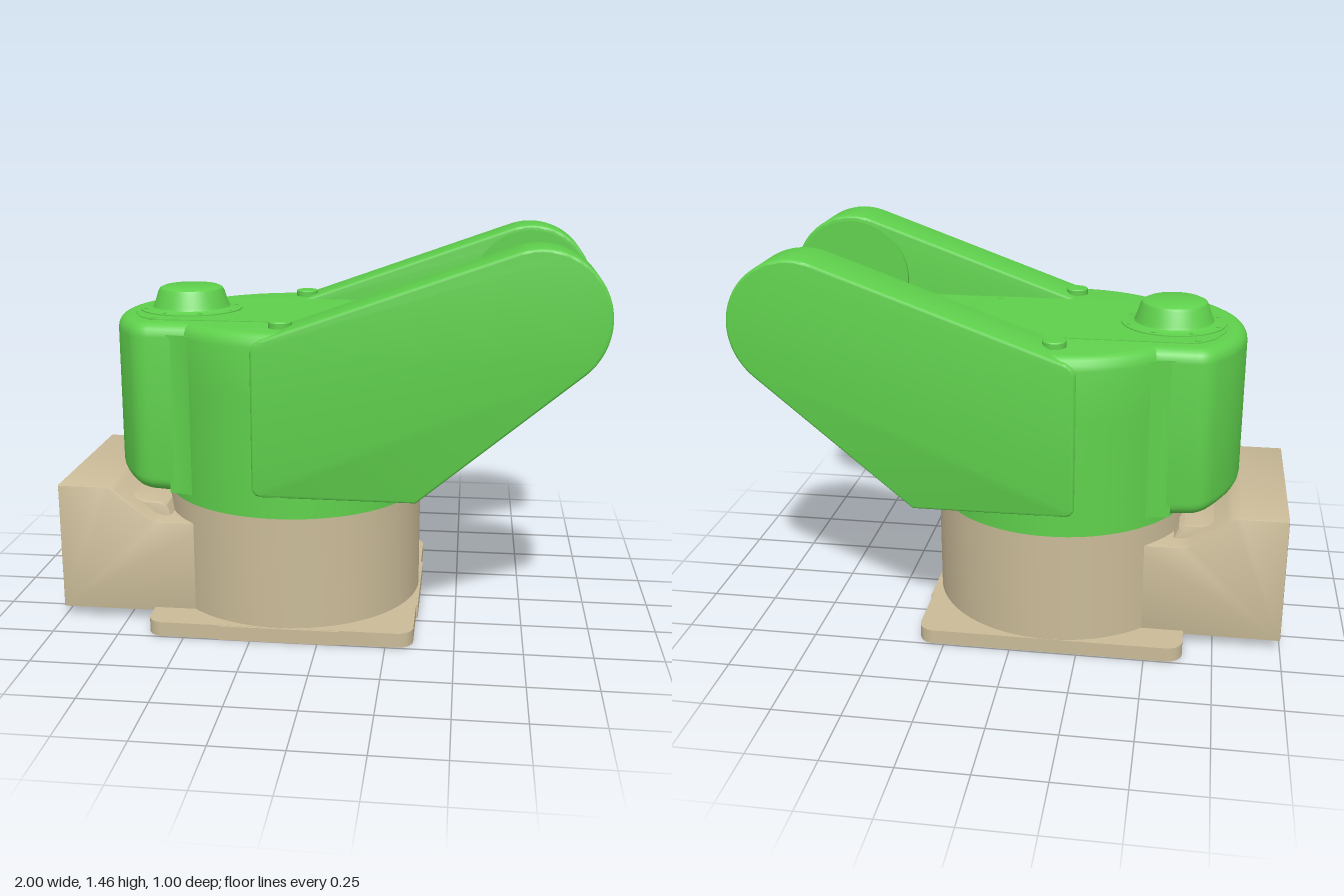
import * as THREE from 'three';
import { toCreasedNormals } from 'three/addons/utils/BufferGeometryUtils.js';

const CX = -0.145; // x of the turning axis
const AXIS_R = 0.494;

export function createModel() {
  const root = new THREE.Group();
  const green = new THREE.MeshStandardMaterial({ color: 0x5fd04c });
  const beige = new THREE.MeshStandardMaterial({ color: 0xcabb98 });

  const add = (name, geo, mat, x = 0, y = 0, z = 0, crease = 0.6) => {
    const mesh = new THREE.Mesh(toCreasedNormals(geo, crease), mat);
    mesh.name = name;
    mesh.position.set(x, y, z);
    root.add(mesh);
    return mesh;
  };
  const polygon = (pts) => new THREE.Shape(pts.map(([x, y]) => new THREE.Vector2(x, y)));
  const lathe = (pts, n = 72) => new THREE.LatheGeometry(pts.map(([r, y]) => new THREE.Vector2(r, y)), n);

  // Extrusion whose full size includes its rounded edges
  const extrude = (shape, depth, bevel = 0, segments = 2) => {
    const geo = new THREE.ExtrudeGeometry(shape, {
      depth: depth - 2 * bevel, bevelEnabled: bevel > 0, bevelSize: bevel, bevelThickness: bevel,
      bevelOffset: -bevel, bevelSegments: segments, curveSegments: 24,
    });
    return geo.translate(0, 0, bevel);
  };
  // Shape drawn in x/z, extruded downwards from the given top
  const extrudeDown = (shape, top, depth, bevel, segments) =>
    extrude(shape, depth, bevel, segments).rotateX(Math.PI / 2).translate(0, top, 0);
  const moveVertices = (geo, rule) => {
    const p = geo.attributes.position;
    const v = new THREE.Vector3();
    for (let i = 0; i < p.count; i++) {
      rule(v.fromBufferAttribute(p, i));
      p.setXYZ(i, v.x, v.y, v.z);
    }
    return geo;
  };

  // Base plate with rounded corners and a round opening
  const plate = new THREE.Shape();
  const h = 0.495, c = 0.06;
  plate.absarc(h - c, h - c, c, 0, Math.PI / 2);
  plate.absarc(c - h, h - c, c, Math.PI / 2, Math.PI);
  plate.absarc(c - h, c - h, c, Math.PI, Math.PI * 1.5);
  plate.absarc(h - c, c - h, c, Math.PI * 1.5, Math.PI * 2);
  plate.holes.push(new THREE.Path().absarc(0, 0, 0.36, 0, Math.PI * 2, true));
  add('basePlate', extrudeDown(plate, 0.055, 0.055), beige, CX);
  add('plateSidePad', new THREE.BoxGeometry(0.45, 0.054, 0.05), beige, CX, 0.027, 0.478);
  add('plateFrontPad', new THREE.BoxGeometry(0.05, 0.054, 0.45), beige, 0.332, 0.027, 0);

  // Base drum with a blind bore from below
  add('baseDrum', lathe([[0, 0.45], [0.205, 0.45], [0.205, 0.004], [0.36, 0.004], [0.36, 0.05],
    [AXIS_R, 0.05], [AXIS_R, 0.478], [0, 0.478]]), beige, CX);

  // Connector housing behind the drum
  add('connectorHousing', extrude(polygon([[-1, 0.04], [-0.42, 0.04], [-0.42, 0.4], [-0.62, 0.4], [-0.65, 0.41],
    [-0.78, 0.515], [-0.8, 0.526], [-0.83, 0.53], [-1, 0.53]]), 0.72, 0.006), beige, 0, 0, -0.36);
  add('connectorRaisedStep', extrude(polygon([[-0.85, 0.3], [-0.42, 0.3], [-0.42, 0.395], [-0.585, 0.395],
    [-0.605, 0.44], [-0.625, 0.452], [-0.69, 0.456], [-0.74, 0.48], [-0.8, 0.52], [-0.85, 0.52]]),
  0.56, 0.008), beige, 0, 0, -0.28);

  // Turret body, flattened at the front above the shoulder
  const body = lathe([[0, 0.478], [AXIS_R, 0.478], [AXIS_R, 0.62], [AXIS_R, 0.76], [AXIS_R, 0.8], [AXIS_R, 0.84],
    [AXIS_R, 0.88], [AXIS_R, 0.92], [AXIS_R, 1.1], [0.489, 1.12], [0.479, 1.137], [0.463, 1.147], [0.443, 1.15], [0, 1.15]], 96);
  moveVertices(body, (v) => {
    const s = THREE.MathUtils.smoothstep(v.y, 0.76, 0.92);
    v.x = Math.min(v.x, THREE.MathUtils.lerp(0.5, 0.445, s));
  });
  add('turretBody', body, green, CX);

  // Rounded rear head, its underside rising to the back
  const head = new THREE.Shape();
  head.moveTo(-0.3, -0.34);
  head.lineTo(-0.3, 0.34);
  head.lineTo(-0.64, 0.34);
  head.quadraticCurveTo(-0.69, 0.34, -0.72, 0.295);
  head.quadraticCurveTo(-0.82, 0.16, -0.82, 0);
  head.quadraticCurveTo(-0.82, -0.16, -0.72, -0.295);
  head.quadraticCurveTo(-0.69, -0.34, -0.64, -0.34);
  head.closePath();
  add('rearHead', moveVertices(extrudeDown(head, 1.15, 0.655, 0.05, 5), (v) => {
    if (v.y < 0.8) v.y += 0.14 * Math.max(0, -0.5 - v.x);
  }), green);

  // Fillets where the rear head meets the round body
  for (const side of [-1, 1]) {
    const fillet = polygon([[-0.57, 0.3], [-0.4, 0.3], [-0.4, 0.41], [-0.45, 0.378], [-0.5, 0.35], [-0.54, 0.341], [-0.57, 0.339]]
      .map(([x, z]) => [x, z * side]));
    add('headFillet', extrudeDown(fillet, 1.11, 0.6), green);
  }

  // Two arms with the webs joining them to the body
  const tip = new THREE.Vector2(0.757, 1.214);
  const arm = new THREE.Shape();
  arm.moveTo(-0.195, 0.557);
  arm.lineTo(0.352, 0.555);
  arm.absarc(tip.x, tip.y, 0.243, -0.865, 1.915);
  arm.lineTo(-0.19, 1.132);
  arm.quadraticCurveTo(-0.235, 1.115, -0.235, 1.08);
  arm.lineTo(-0.235, 0.597);
  arm.quadraticCurveTo(-0.235, 0.557, -0.195, 0.557);

  for (const side of [-1, 1]) {
    add('arm', extrude(arm, 0.216, 0.01, 3), green, 0, 0, side > 0 ? 0.281 : -0.497);
    add('armJointPad', new THREE.CylinderGeometry(0.226, 0.226, 0.03, 64).rotateX(Math.PI / 2),
      green, tip.x, tip.y, side * 0.282);

    const web = polygon([[0, 0.12], [0.29, 0.12], [0.31, 0.155], [0.425, 0.268], [0.45, 0.282], [0.45, 0.3], [0, 0.3]]
      .map(([x, z]) => [x, z * side]));
    add('armWeb', moveVertices(extrudeDown(web, 1.149, 0.594), (v) => {
      if (v.y < 0.8) v.y = Math.max(0.555, 0.555 + (v.x - 0.352) * 0.85);
    }), green);

    add('topKnob', lathe([[0, 1.05], [0.03, 1.05], [0.03, 1.15], [0.043, 1.152], [0.043, 1.172], [0.039, 1.176], [0, 1.176]], 32),
      green, CX, 0, side * 0.365);
  }

  // Thin top cover and its screws
  add('topCover', extrudeDown(polygon([[-0.64, -0.26], [0.15, -0.26], [0.2, -0.2], [0.2, 0.2], [0.15, 0.26],
    [-0.64, 0.26], [-0.7, 0.2], [-0.74, 0.1], [-0.75, 0], [-0.74, -0.1], [-0.7, -0.2]]), 1.153, 0.01), green);
  for (const x of [-0.64, 0.15]) {
    for (const z of [-0.235, 0.235]) {
      add('coverScrew', new THREE.CylinderGeometry(0.009, 0.009, 0.008, 12), green, x, 1.152, z);
    }
  }

  // Domed cap with a screwed flange over the rear head
  add('rearCap', lathe([[0, 1.14], [0.195, 1.14], [0.195, 1.157], [0.158, 1.158], [0.148, 1.163], [0.142, 1.175],
    [0.127, 1.222], [0.12, 1.234], [0.105, 1.241], [0, 1.241]], 64), green, -0.547);
  for (let i = 0; i < 8; i++) {
    const a = (i + 0.5) * Math.PI / 4;
    add('flangeScrew', new THREE.CylinderGeometry(0.007, 0.007, 0.006, 10), green,
      -0.547 + 0.177 * Math.cos(a), 1.158, 0.177 * Math.sin(a));
  }
  return root;
}
